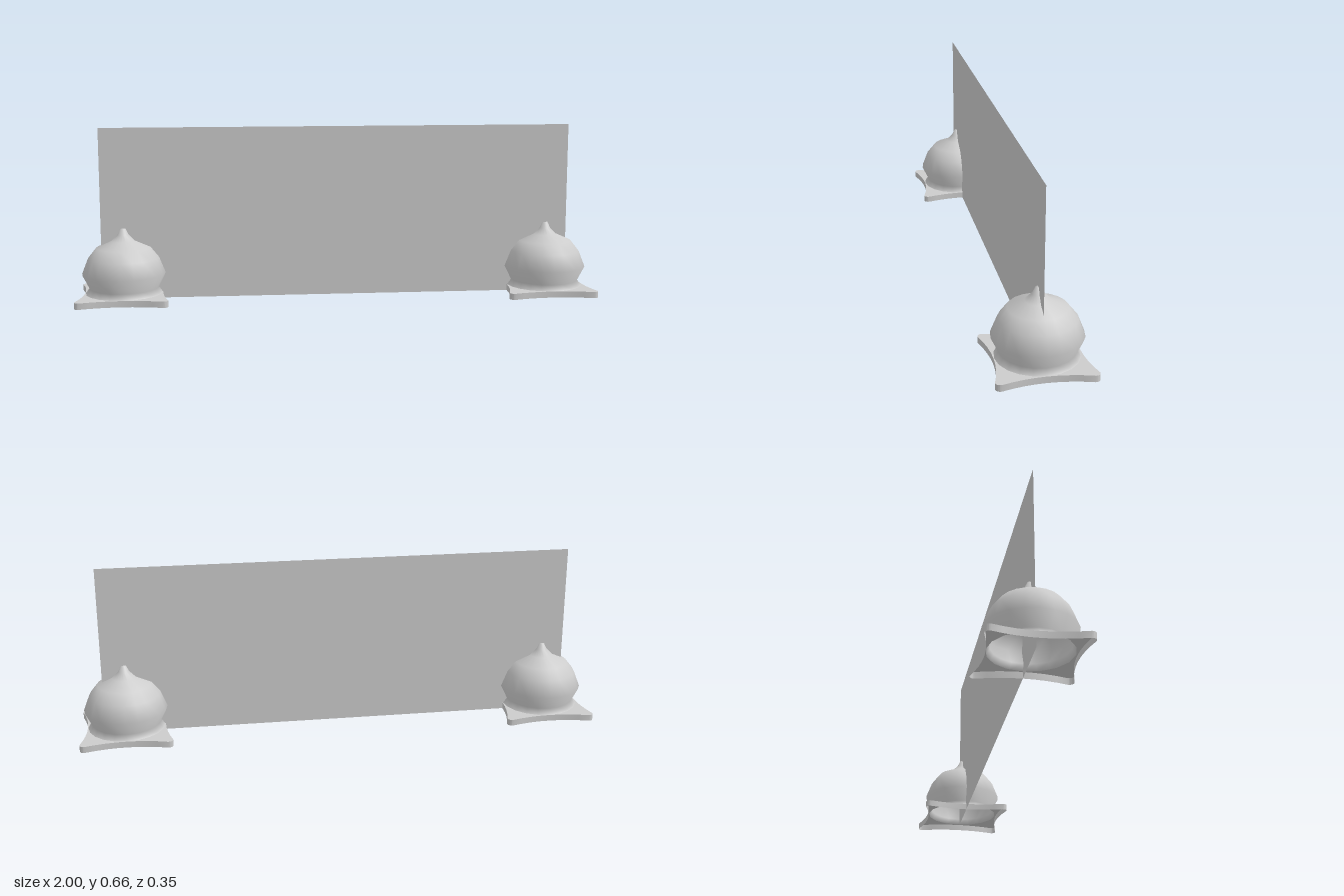
import * as THREE from 'three';
import { toCreasedNormals } from 'three/addons/utils/BufferGeometryUtils.js';

const PLATE_TOP = 0.024;
const FOOT_RADIUS = 0.147;

// Four-cornered outline with concave sides and small rounded tips
function plateOutline() {
  const shape = new THREE.Shape();
  const tip = 0.174, inner = 0.155, dip = 0.124;
  const turn = (x, y, k) => {
    for (let i = 0; i < k; i++) [x, y] = [-y, x];
    return [x, y];
  };
  shape.moveTo(tip, -inner);
  for (let k = 0; k < 4; k++) {
    shape.quadraticCurveTo(...turn(dip, 0, k), ...turn(tip, inner, k));
    shape.quadraticCurveTo(...turn(tip, tip, k), ...turn(inner, tip, k));
  }
  return shape;
}

// Upright wall following an outline, open above and below
function wallGeometry(points, height) {
  const pos = [];
  points.forEach((a, i) => {
    const b = points[(i + 1) % points.length];
    if (a.distanceTo(b) < 1e-6) return;
    pos.push(a.x, 0, -a.y, b.x, 0, -b.y, b.x, height, -b.y);
    pos.push(a.x, 0, -a.y, b.x, height, -b.y, a.x, height, -a.y);
  });
  const geometry = new THREE.BufferGeometry();
  geometry.setAttribute('position', new THREE.Float32BufferAttribute(pos, 3));
  return toCreasedNormals(geometry, 0.5);
}

export function createModel() {
  const model = new THREE.Group();
  model.name = 'bannerWithPosts';
  const material = new THREE.MeshStandardMaterial({ color: 0xcccccc, side: THREE.DoubleSide });

  const add = (parent, name, geometry) => {
    const mesh = new THREE.Mesh(geometry, material);
    mesh.name = name;
    parent.add(mesh);
    return mesh;
  };

  // Thin upright panel
  add(model, 'panel', new THREE.PlaneGeometry(1.82, 0.66)).position.y = 0.33;

  // Hollow base plate: rim wall and a top with a round opening
  const outline = plateOutline();
  const rim = wallGeometry(outline.getPoints(8), PLATE_TOP);
  const opening = new THREE.Path();
  opening.absarc(0, 0, FOOT_RADIUS - 0.002, 0, Math.PI * 2, true);
  outline.holes.push(opening);
  const top = new THREE.ShapeGeometry(outline, 8).rotateX(-Math.PI / 2).translate(0, PLATE_TOP, 0);

  // Onion-shaped dome, open at the foot
  const profile = [
    [FOOT_RADIUS, PLATE_TOP], [0.132, 0.045], [0.159, 0.1], [0.135, 0.161],
    [0.103, 0.201], [0.045, 0.226], [0.021, 0.25], [0.01, 0.273], [0, 0.273],
  ].map(([r, y]) => new THREE.Vector2(r, y));
  const dome = new THREE.LatheGeometry(profile, 20);

  for (const [side, name] of [[1, 'leftPost'], [-1, 'rightPost']]) {
    const post = new THREE.Group();
    post.name = name;
    post.position.x = side * 0.826;
    add(post, 'plateRim', rim);
    add(post, 'plateTop', top);
    add(post, 'dome', dome);
    model.add(post);
  }
  return model;
}
